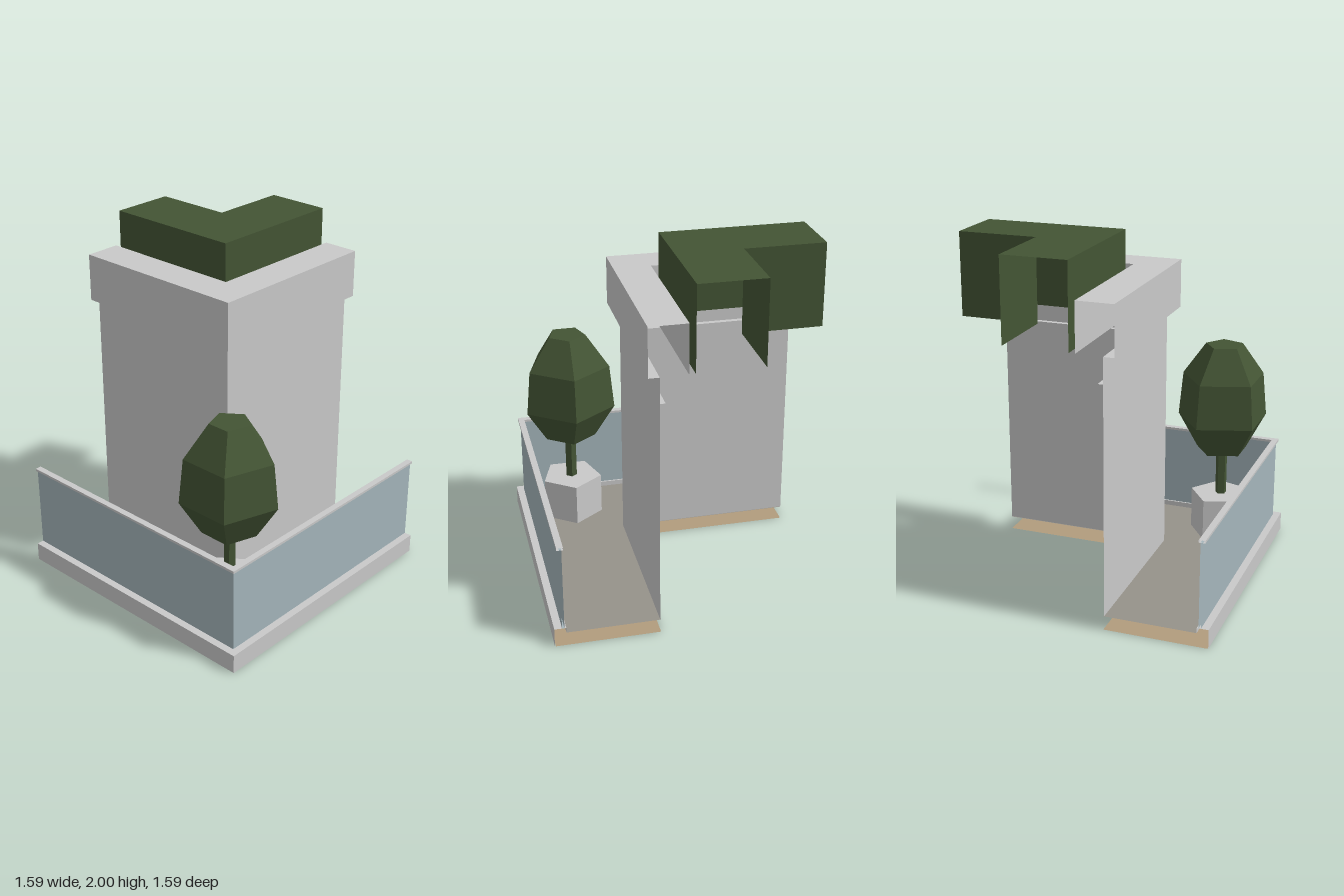
import * as THREE from 'three';

const mat = (name, color, side = THREE.FrontSide) => {
  const m = new THREE.MeshStandardMaterial({ color, side });
  m.name = name;
  return m;
};

// Sweeps a [distance, height] profile round the mitred corner as open sheets.
// Distance is measured outwards to the front (+z) and to the right (-x).
function cornerSweep(profile) {
  const END = 0.795;
  const pos = [];
  const stations = ([d, y]) => [[END, y, d], [-d, y, d], [-d, y, -END]];
  for (let i = 0; i < profile.length - 1; i++) {
    const a = stations(profile[i]);
    const b = stations(profile[i + 1]);
    for (let k = 0; k < 2; k++) {
      pos.push(...a[k], ...b[k], ...b[k + 1], ...a[k], ...b[k + 1], ...a[k + 1]);
    }
  }
  const g = new THREE.BufferGeometry();
  g.setAttribute('position', new THREE.Float32BufferAttribute(pos, 3));
  g.computeVertexNormals();
  return g;
}

// Closed rectangular profile
const rect = (d0, d1, y0, y1) => [[d0, y0], [d1, y0], [d1, y1], [d0, y1], [d0, y0]];

export function createModel() {
  const model = new THREE.Group();
  model.name = 'cornerTerrace';

  const concrete = mat('concrete', 0xc9c9c9, THREE.DoubleSide);
  const glass = mat('glass', 0xa4b5bb, THREE.DoubleSide);
  const paving = mat('paving', 0x96928a, THREE.DoubleSide);
  const underside = mat('underside', 0xb19c7d, THREE.DoubleSide);
  const leaf = mat('leaf', 0x435434, THREE.DoubleSide);

  const add = (name, geometry, material) => {
    const mesh = new THREE.Mesh(geometry, material);
    mesh.name = name;
    model.add(mesh);
    return mesh;
  };
  const strip = (name, profile, material) => add(name, cornerSweep(profile), material);

  // Terrace slab: kerb, paving and soffit below
  strip('kerb', [[0.795, 0], [0.795, 0.11], [0.73, 0.11], [0.73, 0.08]], concrete);
  strip('terraceFloor', [[0.73, 0.08], [0.21, 0.08]], paving);
  strip('terraceUnderside', [[0.79, 0], [0.21, 0]], underside);

  // Glass balustrade with handrail
  strip('glassBalustrade', rect(0.74, 0.753, 0.11, 0.6), glass);
  strip('handrail', rect(0.73, 0.766, 0.598, 0.612), concrete);

  // Wall, inner ledge and roof parapet
  strip('wall', [[0.215, 0.08], [0.215, 1.525]], concrete);
  strip('innerLedge', [[0.215, 1.38], [0.185, 1.38]], concrete);
  strip('parapet', [[0.215, 1.525], [0.275, 1.525], [0.275, 1.8], [0.065, 1.8], [0.065, 1.525]], concrete);

  // Roof hedge
  strip('roofHedge', [[0.03, 1.525], [0.03, 2], [-0.34, 2], [-0.34, 1.525]], leaf);

  // Potted tree, all five-sided with one corner towards +x
  const fiveSided = (name, profile, material) => {
    const points = profile.map(([r, y]) => new THREE.Vector2(r, y));
    const g = new THREE.LatheGeometry(points, 5).toNonIndexed();
    g.computeVertexNormals();
    const mesh = add(name, g, material);
    mesh.position.set(-0.485, 0, 0.483);
    mesh.rotation.y = Math.PI / 2;
  };
  fiveSided('planter', [[0, 0.082], [0.184, 0.082], [0.184, 0.33], [0, 0.33]], concrete);
  fiveSided('trunk', [[0.034, 0.33], [0.034, 0.62]], leaf);
  fiveSided('foliage',
    [[0, 0.613], [0.155, 0.613], [0.276, 0.81], [0.25, 1.07], [0.113, 1.265], [0, 1.265]], leaf);

  return model;
}
